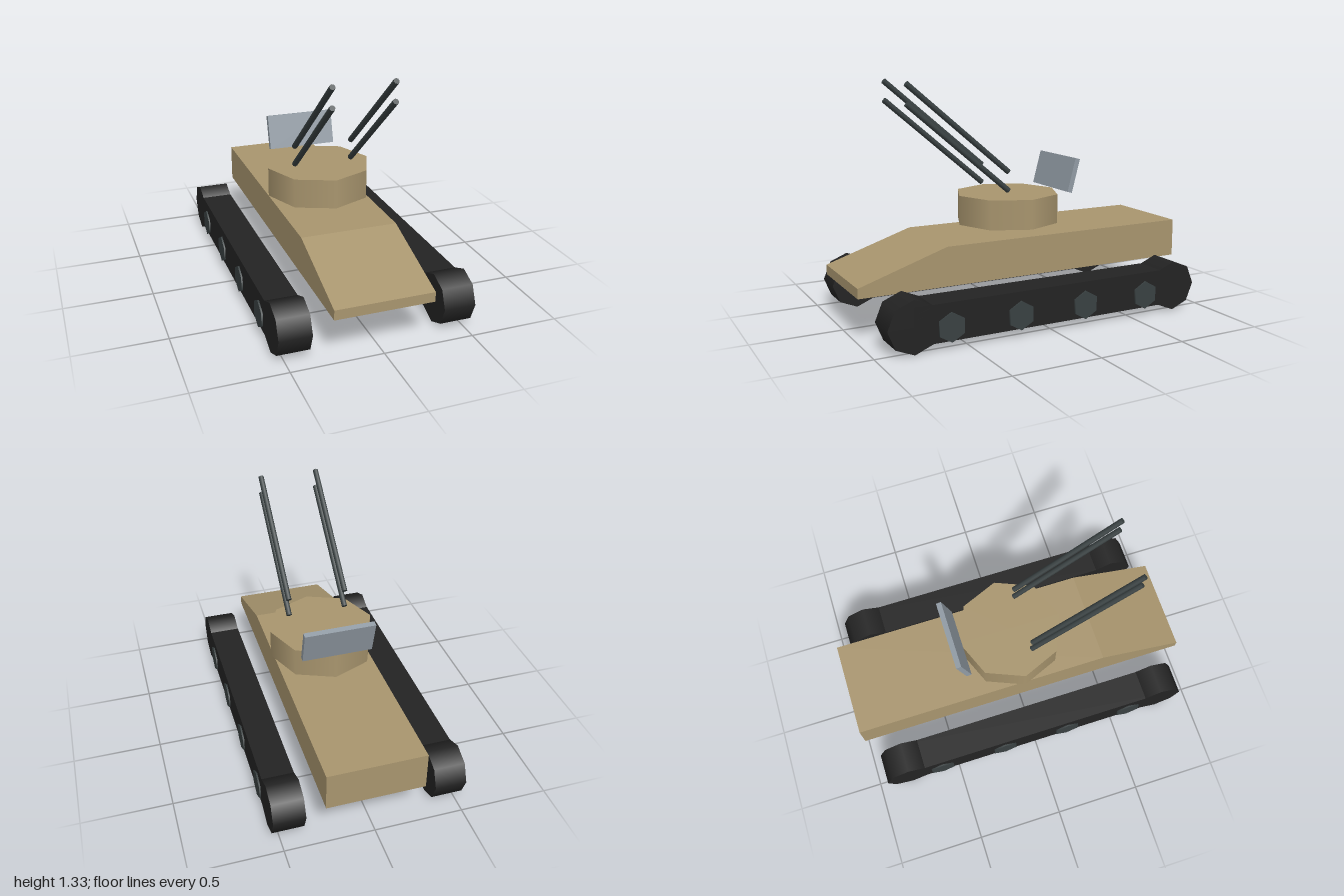
import * as THREE from 'three';

const mat = (name, color) => {
  const m = new THREE.MeshStandardMaterial({ color });
  m.name = name;
  return m;
};

export function createModel() {
  const model = new THREE.Group();
  model.name = 'antiAircraftVehicle';

  const tan = mat('desertTan', 0xa8956e);
  const rubber = mat('trackBlack', 0x232323);
  const steel = mat('darkSteel', 0x394142);
  const shieldGrey = mat('shieldGrey', 0x919ba4);

  const add = (parent, name, geometry, material, x = 0, y = 0, z = 0) => {
    const mesh = new THREE.Mesh(geometry, material);
    mesh.name = name;
    mesh.position.set(x, y, z);
    parent.add(mesh);
    return mesh;
  };

  // Hull: side profile (z, y) with a sloped nose, extruded across the width
  const profile = new THREE.Shape(
    [[1, 0.245], [1, 0.3], [0.5, 0.463], [-1, 0.463], [-1, 0.245]].map(([z, y]) => new THREE.Vector2(z, y))
  );
  const hull = new THREE.ExtrudeGeometry(profile, { depth: 0.546, bevelEnabled: false });
  hull.rotateY(-Math.PI / 2).translate(0.273, 0, 0);
  add(model, 'hull', hull, tan);

  // Eight-sided turret floating above the hull
  add(model, 'turret', new THREE.CylinderGeometry(0.302, 0.302, 0.167, 8), tan, 0, 0.593, 0);

  // Tilted shield behind the turret
  const shield = add(model, 'shield', new THREE.BoxGeometry(0.4, 0.2, 0.03), shieldGrey, 0, 0.774, -0.33);
  shield.rotation.x = -THREE.MathUtils.degToRad(15);

  // Tracks: straight run, end drums and outer road wheels
  const drum = new THREE.CylinderGeometry(0.143, 0.143, 0.178, 8).rotateZ(Math.PI / 2);
  const wheel = new THREE.CylinderGeometry(0.08, 0.08, 0.1, 6, 1, false, Math.PI / 2).rotateZ(Math.PI / 2);
  const run = new THREE.BoxGeometry(0.178, 0.204, 1.6);
  const barrel = new THREE.CylinderGeometry(0.016, 0.016, 0.78, 8);

  for (const side of [1, -1]) {
    const label = side > 0 ? 'left' : 'right';
    const track = new THREE.Group();
    track.name = label + 'Track';
    model.add(track);
    add(track, 'trackRun', run, rubber, side * 0.451, 0.144, 0);
    for (const z of [0.8, -0.8]) add(track, 'endDrum', drum, rubber, side * 0.451, 0.143, z);
    for (const z of [0.6, 0.2, -0.2, -0.6]) add(track, 'roadWheel', wheel, steel, side * 0.499, 0.116, z);

    // Pair of raised gun barrels on each side
    const guns = new THREE.Group();
    guns.name = label + 'Guns';
    model.add(guns);
    for (const y of [0.966, 1.071]) {
      const gun = add(guns, 'gunBarrel', barrel, steel, side * 0.168, y, 0.377);
      gun.rotation.x = THREE.MathUtils.degToRad(50);
    }
  }

  return model;
}
